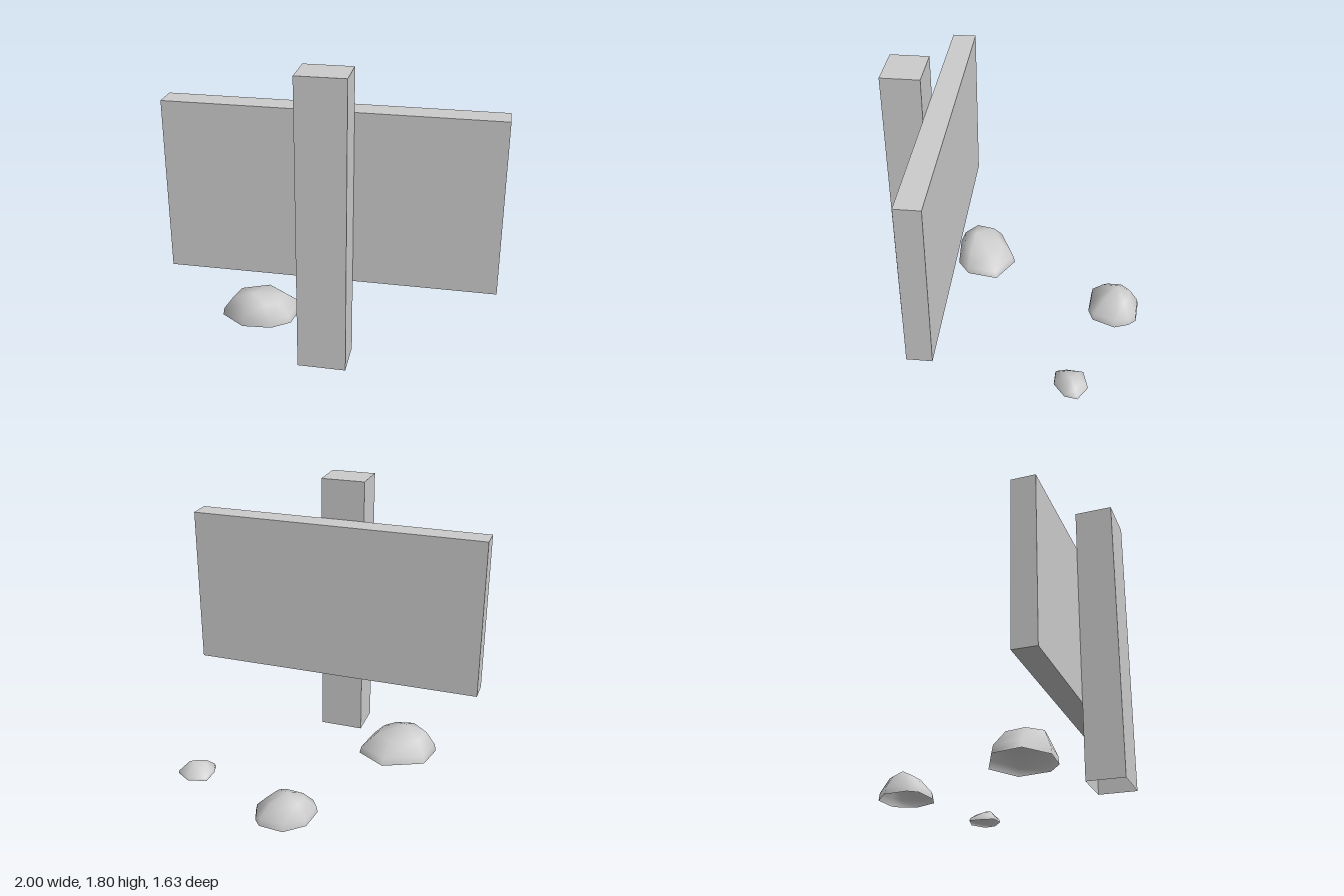
import * as THREE from 'three';

const stoneGrey = new THREE.MeshStandardMaterial({ color: 0xcccccc, side: THREE.DoubleSide });
stoneGrey.name = 'plainGrey';

// Boulder shell, open underneath: rim, lower flank, shoulder ring and peak.
// rim holds [x, z, shoulderHeight] clockwise from above; peak is [x, y, z].
function makeBoulder(name, rim, peak, spread) {
  const base = 0.035, n = rim.length, pos = [], index = [];
  const ring = (scale, height) => rim.forEach(([x, z, h]) =>
    pos.push(peak[0] + (x - peak[0]) * scale, height(h), peak[2] + (z - peak[1 + 1]) * scale));
  ring(1, () => base);
  ring(0.96, h => base + (h - base) * 0.35);
  ring(spread, h => h);
  pos.push(...peak);
  for (let i = 0; i < n; i++) {
    const j = (i + 1) % n;
    for (let r = 0; r < 2; r++) {
      const a = r * n + i, b = r * n + j;
      index.push(b, a, a + n, b, a + n, b + n);
    }
    index.push(2 * n + j, 2 * n + i, 3 * n);
  }
  const geo = new THREE.BufferGeometry();
  geo.setAttribute('position', new THREE.Float32BufferAttribute(pos, 3));
  geo.setIndex(index);
  geo.computeVertexNormals();
  const mesh = new THREE.Mesh(geo, stoneGrey);
  mesh.name = name;
  return mesh;
}

export function createModel() {
  const model = new THREE.Group();
  model.name = 'signpostWithBoulders';
  const turn = -THREE.MathUtils.degToRad(20);

  // Wide board, turned about the vertical
  const board = new THREE.Mesh(new THREE.BoxGeometry(1.97, 1.06, 0.15), stoneGrey);
  board.name = 'signBoard';
  board.position.set(-0.05, 1.008, 0.408);
  board.rotation.y = turn;
  model.add(board);

  // Post in front of the board, without an underside
  const postGeo = new THREE.BoxGeometry(0.29, 1.8, 0.235);
  const faces = Array.from(postGeo.index.array);
  faces.splice(18, 6);
  postGeo.setIndex(faces);
  postGeo.clearGroups();
  const post = new THREE.Mesh(postGeo, stoneGrey);
  post.name = 'post';
  post.position.set(-0.123, 0.9, 0.587);
  post.rotation.y = turn;
  model.add(post);

  // Boulders lying behind the sign
  model.add(makeBoulder('largeBoulder', [
    [-0.71, 0.06, 0.17], [-0.61, -0.1, 0.17], [-0.33, -0.12, 0.17], [-0.19, 0.05, 0.16],
    [-0.29, 0.23, 0.16], [-0.42, 0.27, 0.17], [-0.6, 0.22, 0.18],
  ], [-0.51, 0.21, 0.12], 0.66));
  model.add(makeBoulder('roundBoulder', [
    [0.1, -0.62, 0.15], [0.17, -0.76, 0.16], [0.31, -0.815, 0.17], [0.45, -0.75, 0.17],
    [0.475, -0.69, 0.16], [0.475, -0.59, 0.16], [0.37, -0.475, 0.16], [0.28, -0.475, 0.16],
    [0.12, -0.55, 0.16],
  ], [0.28, 0.215, -0.67], 0.58));
  model.add(makeBoulder('smallBoulder', [
    [0.765, -0.1, 0.1], [0.77, -0.17, 0.1], [0.81, -0.27, 0.085], [0.93, -0.26, 0.085],
    [1, -0.17, 0.085], [0.96, -0.1, 0.09], [0.85, -0.065, 0.09],
  ], [0.9, 0.122, -0.16], 0.6));

  return model;
}
